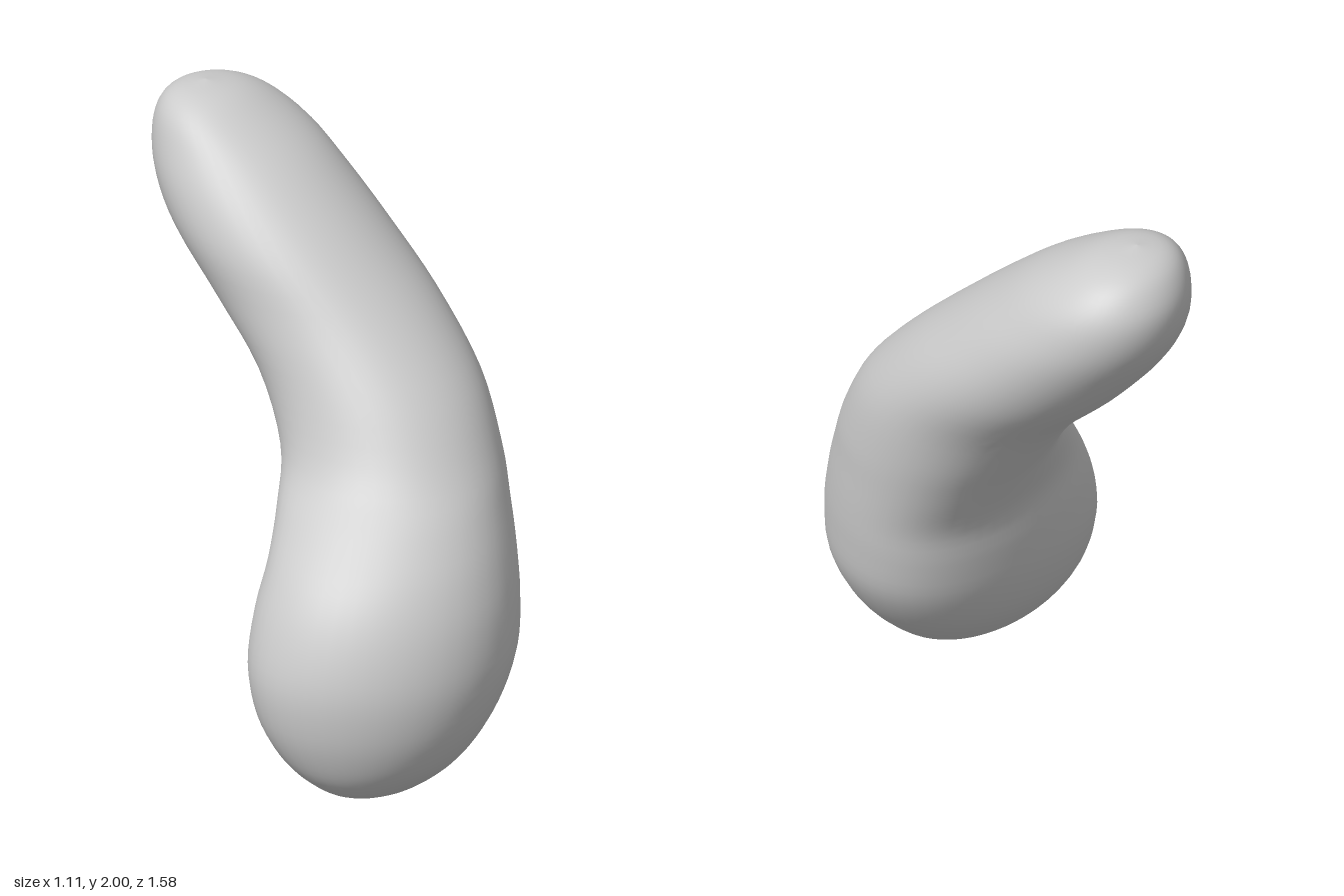
import * as THREE from 'three';

// Level slices, bottom to top: y, right edge, left edge, back, front, skew, bend
const SLICES = [
  [0.00, -0.22, -0.22, 0.45, 0.45, 0, 0],
  [0.02, -0.36, -0.06, 0.36, 0.56, 0, 0.01],
  [0.07, -0.44, 0.08, 0.24, 0.64, 0, 0.02],
  [0.15, -0.50, 0.19, 0.15, 0.71, 0, 0.04],
  [0.27, -0.545, 0.31, 0.07, 0.765, -0.02, 0.06],
  [0.42, -0.557, 0.405, 0.02, 0.79, -0.04, 0.07],
  [0.58, -0.515, 0.445, 0.00, 0.772, -0.07, 0.07],
  [0.72, -0.44, 0.467, -0.01, 0.725, -0.09, 0.06],
  [0.86, -0.32, 0.487, -0.075, 0.655, -0.09, 0.04],
  [1.00, -0.20, 0.507, -0.16, 0.575, -0.07, 0.02],
  [1.20, -0.135, 0.53, -0.31, 0.45, -0.04, 0],
  [1.40, -0.113, 0.55, -0.52, 0.265, -0.04, 0],
  [1.58, -0.118, 0.545, -0.68, 0.07, -0.06, 0],
  [1.72, -0.095, 0.525, -0.765, -0.09, -0.08, 0],
  [1.84, -0.05, 0.485, -0.787, -0.24, -0.08, 0],
  [1.93, 0.00, 0.41, -0.755, -0.385, -0.06, 0],
  [1.98, 0.07, 0.31, -0.695, -0.49, -0.03, 0],
  [2.00, 0.18, 0.18, -0.60, -0.60, 0, 0],
];
const ROWS = 68, SIDES = 48;

// Smooth track through three columns of the slice table
const track = (a, b, c) => new THREE.CatmullRomCurve3(
  SLICES.map(s => new THREE.Vector3(s[a], s[b], s[c])), false, 'catmullrom');

// Skewed, slightly kidney-bent ellipses lofted upward into one closed skin
function bodyGeometry() {
  const sides = track(1, 2, 0), depth = track(3, 4, 0), warp = track(5, 6, 0);
  const positions = [], index = [];
  for (let j = 0; j <= ROWS; j++) {
    const s = sides.getPoint(j / ROWS), d = depth.getPoint(j / ROWS), w = warp.getPoint(j / ROWS);
    const cx = (s.x + s.y) / 2, rx = (s.y - s.x) / 2;
    const cz = (d.x + d.y) / 2, rz = (d.y - d.x) / 2;
    for (let i = 0; i < SIDES; i++) {
      const t = i / SIDES * Math.PI * 2, c = Math.cos(t);
      positions.push(cx + rx * c, s.z, cz + rz * Math.sin(t + w.x) - w.y * c * c);
      if (j === ROWS) continue;
      const a = j * SIDES + i, b = j * SIDES + (i + 1) % SIDES;
      if (j > 0) index.push(a, a + SIDES, b);
      else index.push(a, a + SIDES, b + SIDES);
      if (j > 0 && j < ROWS - 1) index.push(b, a + SIDES, b + SIDES);
    }
  }
  const geometry = new THREE.BufferGeometry();
  geometry.setAttribute('position', new THREE.Float32BufferAttribute(positions, 3));
  geometry.setIndex(index);
  geometry.computeVertexNormals();
  return geometry;
}

export function createModel() {
  const group = new THREE.Group();
  group.name = 'bentBean';
  const body = new THREE.Mesh(bodyGeometry(), new THREE.MeshStandardMaterial({ color: 0xcccccc }));
  body.name = 'body';
  group.add(body);
  return group;
}
